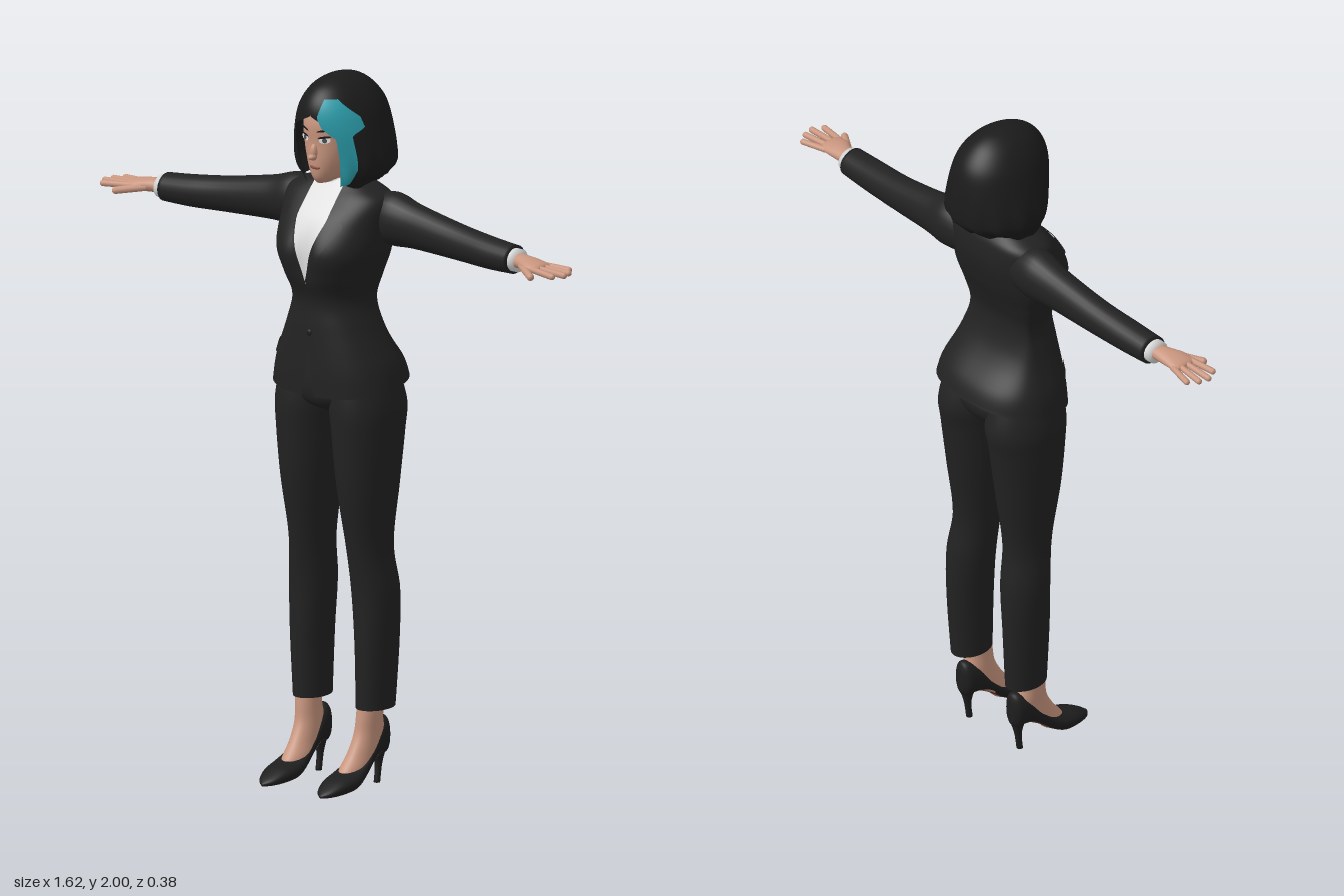
import * as THREE from 'three';
import { mergeVertices } from 'three/addons/utils/BufferGeometryUtils.js';

const material = (name, color, side = THREE.FrontSide) =>
  Object.assign(new THREE.MeshStandardMaterial({ color, side }), { name });

// Smooth interpolation through rows of numbers
function sampleKeys(keys, t) {
  const s = t * (keys.length - 1), i = Math.min(Math.floor(s), keys.length - 2), f = s - i;
  const k = (j) => keys[THREE.MathUtils.clamp(j, 0, keys.length - 1)];
  return keys[0].map((_, c) => {
    const a = k(i - 1)[c], b = k(i)[c], d = k(i + 1)[c], g = k(i + 2)[c];
    return b + 0.5 * f * (d - a + f * (2 * a - 5 * b + 4 * d - g + f * (3 * (b - d) + g - a)));
  });
}

// Straight interpolation in a table of [y, value]
function table(points, y) {
  if (y <= points[0][0]) return points[0][1];
  for (let i = 1; i < points.length; i++) {
    const [a, p] = points[i - 1], [b, q] = points[i];
    if (y <= b) return p + (q - p) * (y - a) / (b - a);
  }
  return points[points.length - 1][1];
}

// Skin over rings [y, cx, cz, halfWidth, frontDepth, backDepth], going up.
// lo and hi limit the angle around y, measured from the front towards +x.
function loft(keys, o = {}) {
  const { n = 32, rows = 30, e = 2, y0 = -9, y1 = 9, caps = false, warp = null,
    lo = () => -Math.PI, hi = () => Math.PI, grow = () => 1 } = o;
  const rings = [];
  for (let i = 0; i <= rows; i++) {
    const r = sampleKeys(keys, i / rows);
    if (r[0] >= y0 && r[0] <= y1) rings.push(r);
  }
  const pos = [], index = [], p = new THREE.Vector3();
  const round = (v) => Math.sign(v) * Math.abs(v) ** (2 / e);
  rings.forEach(([y, cx, cz, rx, rf, rb]) => {
    const a = lo(y, rx), b = hi(y, rx);
    for (let j = 0; j <= n; j++) {
      const u = a + (b - a) * j / n, g = grow(y, u), c = round(Math.cos(u));
      p.set(cx + Math.max(rx, 0.0005) * g * round(Math.sin(u)), y, cz + Math.max(c > 0 ? rf : rb, 0.0005) * g * c);
      if (warp) warp(p);
      pos.push(p.x, p.y, p.z);
    }
  });
  const w = n + 1;
  for (let i = 0; i < rings.length - 1; i++) for (let j = 0; j < n; j++) {
    const a = i * w + j;
    index.push(a, a + 1, a + w, a + 1, a + w + 1, a + w);
  }
  if (caps) {
    const top = (rings.length - 1) * w, c0 = pos.length / 3;
    for (const r of [rings[0], rings[rings.length - 1]]) pos.push(r[1], r[0], r[2]);
    for (let j = 0; j < n; j++) index.push(j + 1, j, c0, top + j, top + j + 1, c0 + 1);
  }
  const g = new THREE.BufferGeometry();
  g.setAttribute('position', new THREE.Float32BufferAttribute(pos, 3));
  g.setIndex(index);
  const m = mergeVertices(g, 1e-5);
  m.computeVertexNormals();
  return m;
}

// Copy for the other side, with the corner order turned round
function mirrored(geometry) {
  const g = geometry.clone().scale(-1, 1, 1), a = g.index.array;
  for (let i = 0; i < a.length; i += 3) [a[i + 1], a[i + 2]] = [a[i + 2], a[i + 1]];
  return g;
}

// Rounded rod between two points
function rod(a, b, r) {
  const p = new THREE.Vector3(...a), d = new THREE.Vector3(...b).sub(p), len = d.length();
  const q = new THREE.Quaternion().setFromUnitVectors(new THREE.Vector3(0, 1, 0), d.clone().normalize());
  return new THREE.CapsuleGeometry(r, len - 2 * r, 4, 10).applyQuaternion(q)
    .translate(p.x + d.x / 2, p.y + d.y / 2, p.z + d.z / 2);
}
const blob = (x, y, z, sx, sy, sz) => new THREE.SphereGeometry(1, 16, 12).scale(sx, sy, sz).translate(x, y, z);

export function createModel() {
  const D = THREE.DoubleSide;
  const suit = material('suit black', 0x222223, D), hairBlack = material('hair black', 0x1b1b1c, D);
  const skin = material('skin', 0xc9967f), teal = material('teal streak', 0x2c9fad, D);
  const white = material('shirt white', 0xdedede, D), shoeBlack = material('shoe black', 0x1e1e1f, D);
  const soleBrown = material('sole brown', 0x5c3a2a, D), lip = material('lip', 0x94574c);
  const eyeWhite = material('eye white', 0xe6e2de, D), iris = material('iris grey', 0x4a4f55, D);

  const model = new THREE.Group();
  model.name = 'woman in suit';
  const add = (name, geometry, mat) => {
    const m = new THREE.Mesh(geometry, mat);
    m.name = name;
    model.add(m);
  };
  const pair = (name, geometry, mat) => {
    add(name + 'Left', geometry, mat);
    add(name + 'Right', mirrored(geometry), mat);
  };

  // Jacket body, open in a V above and split below the button
  const torso = [
    [1.135, 0, -0.03, 0.196, 0.148, 0.142], [1.2, 0, -0.03, 0.182, 0.148, 0.12],
    [1.3, 0, -0.03, 0.142, 0.143, 0.052], [1.38, 0, -0.03, 0.119, 0.14, 0.03],
    [1.45, 0, -0.03, 0.138, 0.168, 0.045], [1.52, 0, -0.03, 0.16, 0.182, 0.07],
    [1.6, 0, -0.03, 0.165, 0.142, 0.088], [1.66, 0, -0.03, 0.165, 0.092, 0.085],
    [1.69, 0, -0.03, 0.12, 0.065, 0.07], [1.71, 0, -0.03, 0.06, 0.05, 0.05]];
  const e = 2.4;
  const shape = (p) => {
    if (p.z > 0) p.z -= 0.02 * Math.exp(-((p.x / 0.035) ** 2) - ((p.y - 1.51) / 0.06) ** 2);
    p.y -= 0.17 * (p.z + 0.02) * THREE.MathUtils.clamp((1.26 - p.y) / 0.125, 0, 1);
  };
  const angle = (x, rx) => Math.asin(Math.min(1, Math.max(0, x / rx)) ** (e / 2));
  const opening = (y) => table([[1.12, 0.025], [1.24, 0], [1.43, 0], [1.61, 0.052], [1.71, 0.05]], y);
  const gap = (y, rx) => angle(opening(y), rx);
  const base = { e, rows: 64, warp: shape };
  add('jacket', loft(torso, { ...base, n: 64, lo: gap, hi: (y, rx) => 2 * Math.PI - gap(y, rx) }), suit);
  add('shirtFront', loft(torso, { ...base, y0: 1.38, lo: () => -1.4, hi: () => 1.4, grow: () => 0.965 }), white);
  pair('lapel', loft(torso, {
    ...base, n: 8, y0: 1.43, y1: 1.695, lo: gap, grow: () => 1.03,
    hi: (y, rx) => angle(opening(y) + table([[1.43, 0.004], [1.6, 0.055], [1.61, 0.035], [1.69, 0.03]], y), rx),
  }), suit);
  pair('pocketFlap', loft(torso, { ...base, n: 10, y0: 1.21, y1: 1.25, lo: () => 0.75, hi: () => 1.6, grow: () => 1.02 }), suit);
  add('button', blob(0, 1.29, 0.113, 0.009, 0.009, 0.004), shoeBlack);

  // Sleeves, cuffs and hands, lofted along y and then laid along x
  const along = (keys, o) => loft(keys, { caps: true, n: 24, ...o }).rotateZ(-Math.PI / 2);
  pair('sleeve', along([
    [0.09, -1.605, -0.05, 0.06, 0.05, 0.05], [0.17, -1.607, -0.05, 0.075, 0.06, 0.06],
    [0.25, -1.598, -0.048, 0.063, 0.05, 0.05], [0.4, -1.582, -0.041, 0.051, 0.045, 0.045],
    [0.52, -1.573, -0.032, 0.045, 0.045, 0.045], [0.61, -1.57, -0.027, 0.04, 0.043, 0.043]]), suit);
  pair('cuff', along([[0.59, -1.57, -0.026, 0.033, 0.036, 0.036], [0.628, -1.57, -0.025, 0.032, 0.035, 0.035]], { rows: 2 }), white);
  pair('palm', along([
    [0.6, -1.57, -0.023, 0.021, 0.025, 0.025], [0.64, -1.571, -0.02, 0.02, 0.027, 0.027],
    [0.68, -1.57, -0.012, 0.018, 0.038, 0.036], [0.715, -1.568, -0.01, 0.012, 0.037, 0.037],
    [0.725, -1.567, -0.01, 0.005, 0.03, 0.03]], { rows: 16 }), skin);
  [[-0.038, 0.785, -0.056], [-0.02, 0.805, -0.028], [0, 0.812, 0.002], [0.018, 0.795, 0.034]].forEach(([z, x, tip], i) =>
    pair('finger' + (i + 1), rod([0.695, 1.568, z], [x, 1.562, tip], 0.0088), skin));
  pair('thumb', rod([0.65, 1.568, 0], [0.735, 1.555, 0.058], 0.0105), skin);

  // Trousers
  pair('trouserLeg', loft([
    [0.22, 0.11, -0.04, 0.047, 0.064, 0.065], [0.4, 0.113, -0.042, 0.054, 0.071, 0.073],
    [0.55, 0.109, -0.042, 0.062, 0.074, 0.074], [0.68, 0.1, -0.03, 0.059, 0.079, 0.071],
    [0.85, 0.098, -0.025, 0.077, 0.104, 0.097], [1, 0.097, -0.025, 0.09, 0.117, 0.116],
    [1.08, 0.094, -0.025, 0.095, 0.12, 0.127], [1.17, 0.09, -0.025, 0.08, 0.11, 0.1]], { rows: 40 }), suit);
  add('trouserSeat', loft([
    [1.055, 0, -0.025, 0.03, 0.06, 0.07], [1.08, 0, -0.025, 0.12, 0.105, 0.1],
    [1.13, 0, -0.025, 0.17, 0.118, 0.115], [1.22, 0, -0.025, 0.15, 0.11, 0.08]], { caps: true }), suit);

  // Feet and high-heeled shoes; the shoe is lofted along z with its front side down
  pair('foot', loft([
    [0.03, 0.1, 0.06, 0.03, 0.045, 0.03], [0.06, 0.1, 0.03, 0.037, 0.062, 0.03],
    [0.1, 0.102, 0, 0.035, 0.06, 0.06], [0.15, 0.104, -0.015, 0.033, 0.048, 0.058],
    [0.2, 0.107, -0.018, 0.033, 0.043, 0.043], [0.27, 0.11, -0.025, 0.036, 0.043, 0.043]], { caps: true }), skin);
  const shoe = [[-0.09, 0.1, 0.165, 0.012], [-0.077, 0.08, 0.19, 0.03], [-0.04, 0.082, 0.17, 0.036],
    [0, 0.06, 0.118, 0.038], [0.04, 0.028, 0.08, 0.043], [0.08, 0.008, 0.06, 0.049],
    [0.13, 0.003, 0.046, 0.043], [0.17, 0.003, 0.026, 0.026], [0.19, 0.005, 0.012, 0.004]]
    .map(([z, low, high, w]) => [z, 0.102, -(low + high) / 2, w, (high - low) / 2, (high - low) / 2]);
  pair('shoe', loft(shoe, { caps: true, e: 2.3, rows: 32 }).rotateX(Math.PI / 2), shoeBlack);
  pair('sole', loft(shoe, {
    e: 2.3, rows: 32, n: 12, y0: -0.055, lo: () => -0.85, hi: () => 0.85, grow: () => 1.025,
  }).rotateX(Math.PI / 2), soleBrown);
  pair('heel', loft([
    [0, 0.102, -0.056, 0.009, 0.009, 0.009], [0.05, 0.102, -0.062, 0.01, 0.01, 0.011],
    [0.09, 0.102, -0.062, 0.018, 0.022, 0.022], [0.12, 0.102, -0.055, 0.026, 0.03, 0.03]],
  { caps: true, n: 16, rows: 12 }), shoeBlack);

  // Neck and head
  add('collar', loft([[1.6, 0, -0.02, 0.056, 0.06, 0.05], [1.66, 0, -0.022, 0.05, 0.055, 0.045],
    [1.71, 0, -0.025, 0.047, 0.05, 0.045]]), white);
  add('neck', loft([[1.66, 0, -0.027, 0.042, 0.042, 0.042], [1.76, 0, -0.027, 0.042, 0.042, 0.042]], { rows: 4 }), skin);
  add('head', loft([
    [1.705, 0, 0.045, 0.016, 0.028, 0.04], [1.725, 0, 0.01, 0.042, 0.076, 0.06],
    [1.765, 0, 0, 0.064, 0.091, 0.09], [1.82, 0, 0, 0.078, 0.091, 0.12],
    [1.88, 0, -0.01, 0.083, 0.103, 0.13], [1.94, 0, -0.02, 0.068, 0.085, 0.1],
    [1.975, 0, -0.03, 0.02, 0.03, 0.03]], { caps: true }), skin);
  add('nose', blob(0, 1.795, 0.091, 0.011, 0.024, 0.012), skin);
  add('noseTip', blob(0, 1.783, 0.097, 0.011, 0.009, 0.015), skin);
  add('lips', blob(0, 1.752, 0.087, 0.018, 0.006, 0.005), lip);

  // Eyes, lashes and brows as thin plates following the face
  const plate = (r, sx, sy, y, z, tilt) => new THREE.CircleGeometry(r, 20).scale(sx, sy, 1)
    .rotateZ(tilt).rotateY(0.4).translate(0.034, y, z);
  pair('eye', plate(0.017, 1, 0.5, 1.832, 0.0865, 0.15), eyeWhite);
  pair('iris', plate(0.007, 1, 1, 1.832, 0.0875, 0), iris);
  pair('lash', plate(0.02, 1, 0.15, 1.841, 0.088, 0.15), hairBlack);
  pair('brow', plate(0.022, 1, 0.14, 1.86, 0.0895, 0.2), hairBlack);

  // Bobbed hair with a face opening, strand ripples and a coloured streak
  const hair = [
    [1.7, 0, -0.04, 0.118, 0.095, 0.12], [1.735, 0, -0.04, 0.14, 0.108, 0.144],
    [1.78, 0, -0.04, 0.145, 0.122, 0.15], [1.86, 0, -0.04, 0.126, 0.146, 0.142],
    [1.92, 0, -0.04, 0.105, 0.143, 0.125], [1.965, 0, -0.035, 0.073, 0.108, 0.093],
    [1.99, 0, -0.03, 0.037, 0.055, 0.055], [2, 0, -0.03, 0.001, 0.001, 0.001]];
  const ripple = (y, u) => 1 + 0.018 * Math.sin(u * 13) * THREE.MathUtils.clamp((1.86 - y) / 0.12, 0, 1);
  const faceGap = (y) => table([[1.7, 0.6], [1.8, 0.66], [1.865, 0.62], [1.88, 0.35], [1.9, 0]], y);
  const droop = (p) => {
    const low = THREE.MathUtils.clamp((1.76 - p.y) / 0.06, 0, 1);
    p.y += low * (0.02 * THREE.MathUtils.clamp(-p.z / 0.15, -0.5, 1) + 0.006 * Math.sin(p.x * 120));
  };
  add('hair', loft(hair, { n: 96, rows: 56, lo: faceGap, hi: (y) => 2 * Math.PI - faceGap(y), grow: ripple, warp: droop }), hairBlack);
  add('hairStreak', loft(hair, {
    n: 14, rows: 84, y0: 1.7, y1: 1.952, grow: (y, u) => ripple(y, u) + 0.03, warp: droop,
    lo: (y) => table([[1.7, 0.48], [1.75, 0.48], [1.84, 0.56], [1.87, 0.3], [1.9, 0.2], [1.95, 0.35]], y),
    hi: (y) => table([[1.7, 0.6], [1.75, 0.85], [1.85, 0.9], [1.87, 1.2], [1.9, 1.15], [1.95, 0.7]], y),
  }), teal);
  return model;
}
